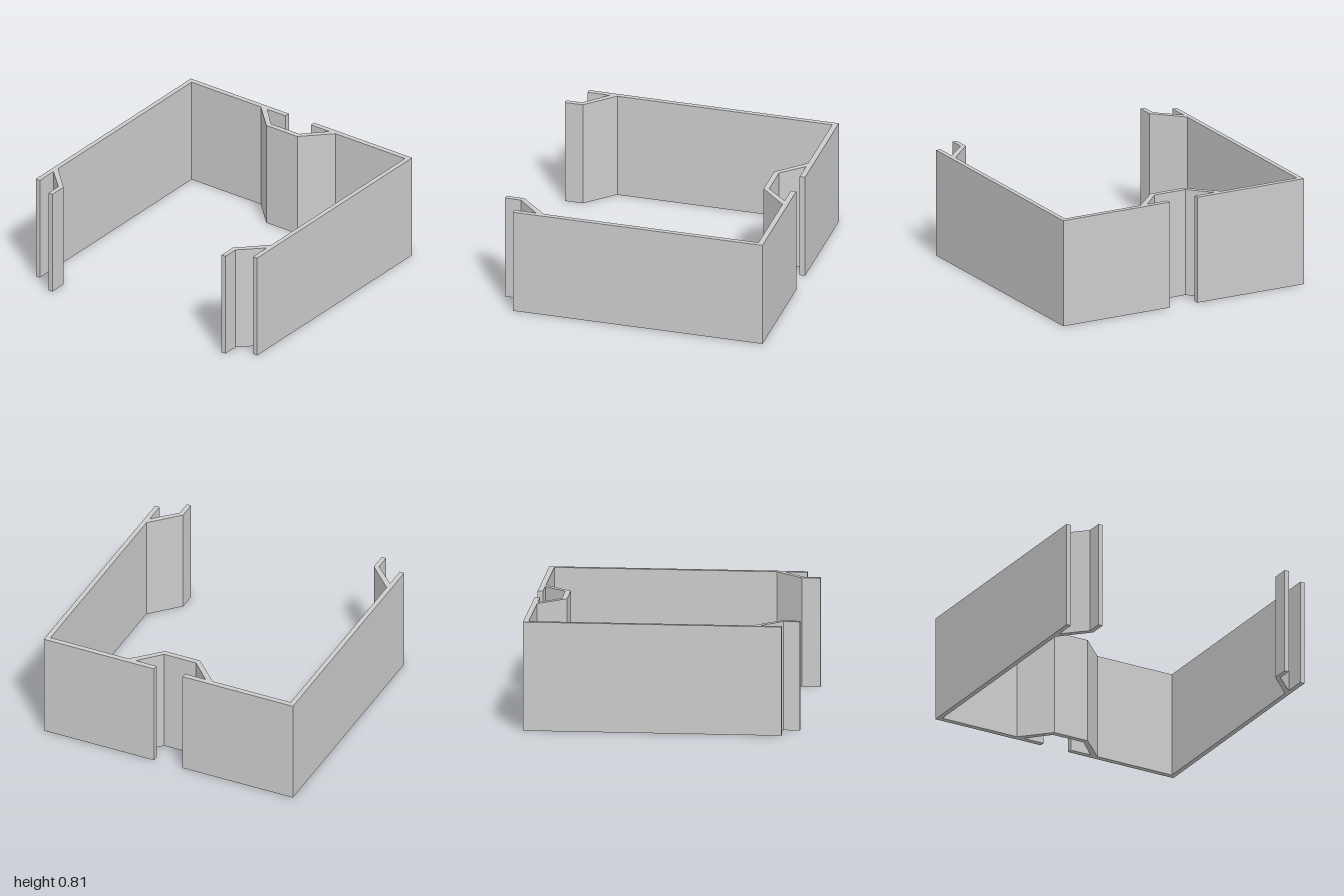
import * as THREE from 'three';

const HEIGHT = 0.805;

// Half of the channel outline as [x, |z|], from the clip's outer face,
// around the wall and hooked lip, back to the clip's inner face
const HALF = [
  [0.80, 0.128], [0.96, 0.28], [0.96, 0.115],              // clip outside, slot edge
  [1, 0.115], [1, 1], [-0.885, 1], [-0.885, 0.964],        // outer walls, wall tip
  [-0.72, 0.964], [-0.88, 0.80], [-1, 0.80], [-1, 0.765],  // lip outside
  [-0.865, 0.765], [-0.662, 0.964],                        // lip inside
  [0.96, 0.964], [0.96, 0.338], [0.76, 0.14],              // inner walls, clip inside
];

export function createModel() {
  const group = new THREE.Group();
  const mirrored = HALF.map(([x, z]) => [x, -z]).reverse();
  const outline = [...HALF, ...mirrored].map(([x, z]) => new THREE.Vector2(x, z));

  // One continuous strip profile, extruded upward
  const geometry = new THREE.ExtrudeGeometry(new THREE.Shape(outline), {
    depth: HEIGHT, bevelEnabled: false,
  });
  geometry.rotateX(-Math.PI / 2);

  const channel = new THREE.Mesh(
    geometry,
    new THREE.MeshStandardMaterial({ color: 0xcccccc, flatShading: true }),
  );
  channel.name = 'channelProfile';
  group.add(channel);
  return group;
}
